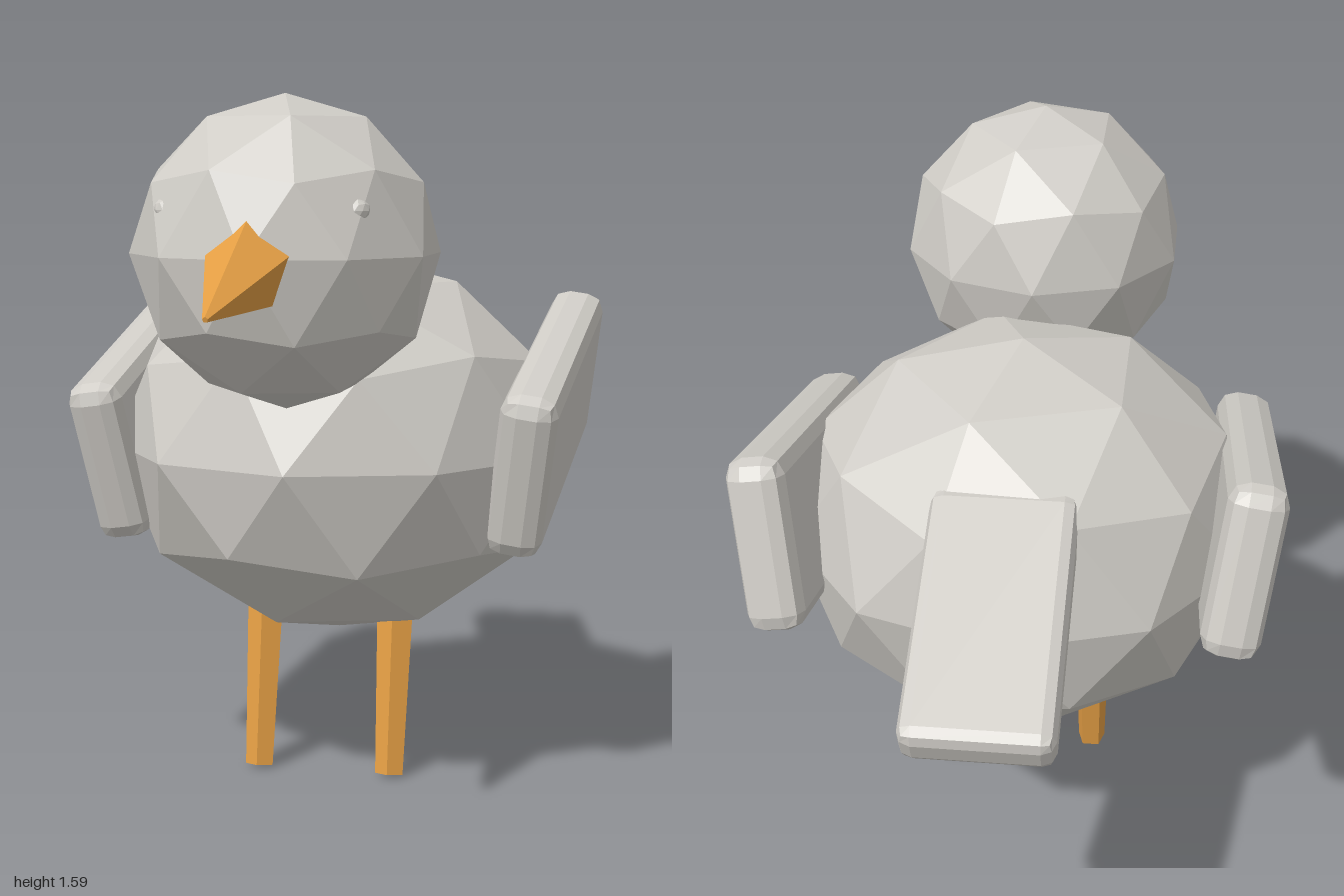
import * as THREE from 'three';
import { RoundedBoxGeometry } from 'three/addons/geometries/RoundedBoxGeometry.js';

export function createModel() {
  const model = new THREE.Group();
  model.name = 'bird';

  const plumage = new THREE.MeshStandardMaterial({ name: 'pale grey', color: 0xcfccc6, flatShading: true });
  const horn = new THREE.MeshStandardMaterial({ name: 'orange', color: 0xe6a045, flatShading: true });

  const add = (name, geometry, material, x, y, z) => {
    const mesh = new THREE.Mesh(geometry, material);
    mesh.name = name;
    mesh.position.set(x, y, z);
    model.add(mesh);
    return mesh;
  };

  // Faceted ball with a vertex at each pole
  const facetBall = (rx, ry, rz) =>
    new THREE.IcosahedronGeometry(1, 1)
      .rotateX(-Math.atan((1 + Math.sqrt(5)) / 2))
      .rotateY(Math.PI / 2)
      .scale(rx, ry, rz);

  // Five-sided tapered rod between two points, with one corner facing +z before turning
  const rod = (name, from, to, r0, r1, turn = 0) => {
    const a = new THREE.Vector3(...from), b = new THREE.Vector3(...to);
    const dir = b.clone().sub(a);
    const geometry = new THREE.CylinderGeometry(r1, r0, dir.length(), 5).rotateY(turn);
    const mid = a.add(b).multiplyScalar(0.5);
    const mesh = add(name, geometry, horn, mid.x, mid.y, mid.z);
    mesh.quaternion.setFromUnitVectors(new THREE.Vector3(0, 1, 0), dir.normalize());
  };

  // Body and head
  add('body', facetBall(0.54, 0.46, 0.54), plumage, 0, 0.78, -0.09);
  add('head', facetBall(0.333, 0.335, 0.33), plumage, 0, 1.26, 0.415);

  // Beak, with a ridge along the top
  rod('beak', [0, 1.264, 0.62], [0, 1.165, 0.998], 0.117, 0.006, Math.PI);

  // Tail
  const tail = add('tail', new RoundedBoxGeometry(0.315, 0.105, 0.6, 1, 0.03), plumage, 0, 0.907, -0.709);
  tail.rotation.x = THREE.MathUtils.degToRad(-24);

  for (const [side, s] of [['left', 1], ['right', -1]]) {
    // Wing, raised at the back and leaning outward
    const wing = add(side + 'Wing', new RoundedBoxGeometry(0.13, 0.39, 0.82, 1, 0.042), plumage, s * 0.495, 0.847, -0.156);
    wing.rotation.set(THREE.MathUtils.degToRad(14), 0, THREE.MathUtils.degToRad(-8 * s), 'ZYX');

    // Small eye, just breaking the head surface
    add(side + 'Eye', facetBall(0.027, 0.027, 0.027), plumage, s * 0.2, 1.355, 0.612);

    // Leg, sloping forward to the ground
    rod(side + 'Leg', [s * 0.16, 0.006, 0.068], [s * 0.16, 0.5, -0.018], 0.035, 0.048);
  }

  return model;
}
